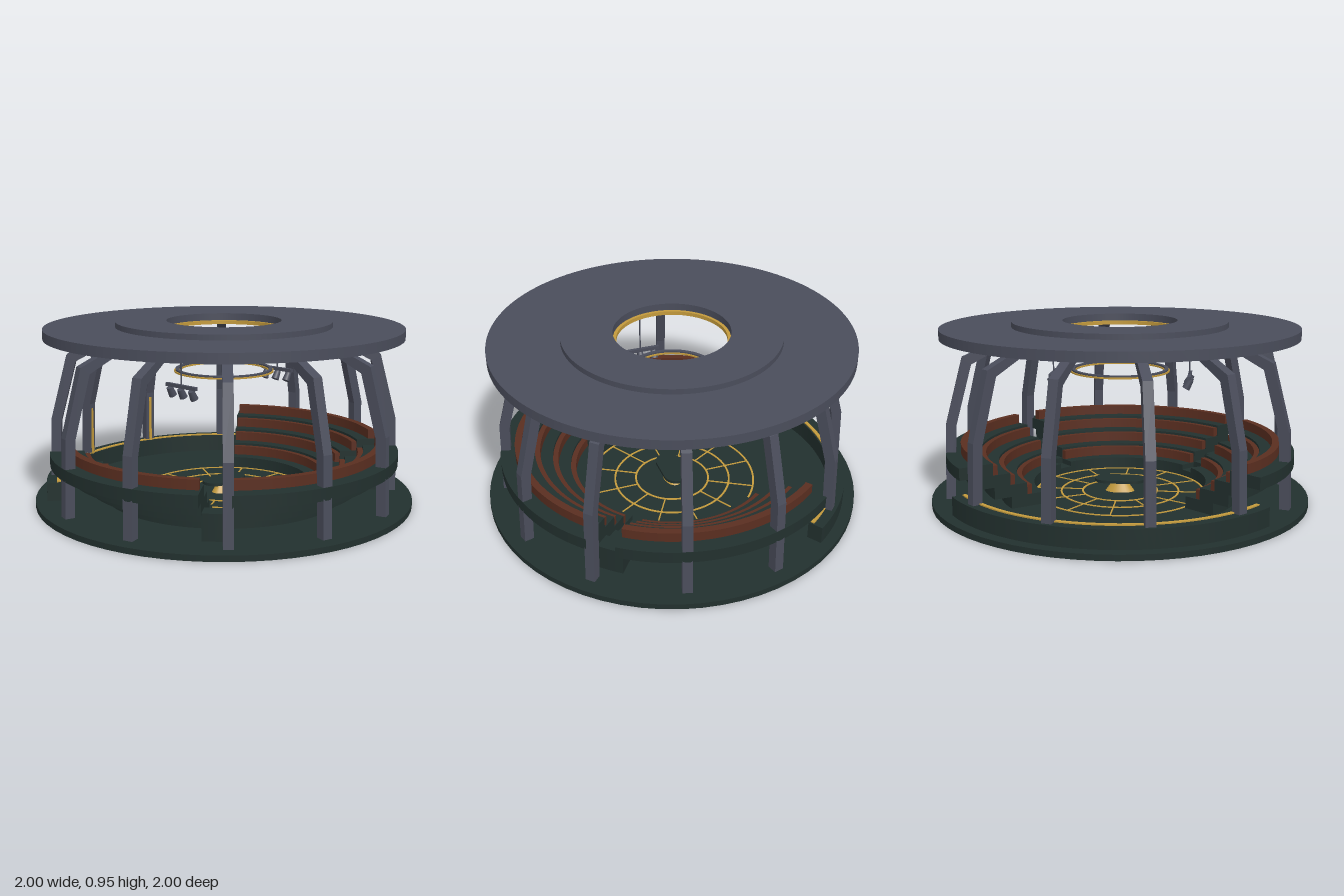
import * as THREE from 'three';

const mat = (name, color) => {
  const m = new THREE.MeshStandardMaterial({ color });
  m.name = name;
  return m;
};
const rad = THREE.MathUtils.degToRad;

export function createModel() {
  const root = new THREE.Group();
  root.name = 'councilPavilion';
  const green = mat('darkGreen', 0x22302e);
  const grey = mat('slateGrey', 0x4a4d5b);
  const brown = mat('woodBrown', 0x5a2e20);
  const gold = mat('gold', 0xc39a3c);

  const add = (name, geo, material, parent = root) => {
    const m = new THREE.Mesh(geo, material);
    m.name = name;
    parent.add(m);
    return m;
  };

  // Flat shape raised between two heights
  const slab = (shape, y0, y1, segs = 32) =>
    new THREE.ExtrudeGeometry(shape, { depth: y1 - y0, bevelEnabled: false, curveSegments: segs })
      .rotateX(-Math.PI / 2).translate(0, y0, 0);

  // Full ring
  const ring = (name, r0, r1, y0, y1, material) => {
    const s = new THREE.Shape().absarc(0, 0, r1, 0, Math.PI * 2, false);
    s.holes.push(new THREE.Path().absarc(0, 0, r0, 0, Math.PI * 2, true));
    return add(name, slab(s, y0, y1, 64), material);
  };

  // Ring sector; angles in degrees from +z towards +x
  const sector = (name, r0, r1, a0, a1, y0, y1, material) => {
    const s = new THREE.Shape();
    s.absarc(0, 0, r1, rad(a0 - 90), rad(a1 - 90), false);
    s.absarc(0, 0, r0, rad(a1 - 90), rad(a0 - 90), true);
    return add(name, slab(s, y0, y1, 28), material);
  };

  // Base and roof
  add('baseDisc', new THREE.CylinderGeometry(1, 1, 0.03, 64).translate(0, 0.015, 0), green);
  ring('roofRing', 0.55, 0.935, 0.875, 0.925, grey);
  ring('roofCap', 0.3, 0.565, 0.915, 0.953, grey);
  ring('skylightTrim', 0.283, 0.303, 0.895, 0.915, gold);

  // Bent ribs around the rim
  const rib = new THREE.Shape([
    [0.925, 0.03], [0.912, 0.43], [0.822, 0.775], [0.585, 0.885],
    [0.525, 0.875], [0.775, 0.74], [0.86, 0.42], [0.875, 0.03],
  ].map(([x, y]) => new THREE.Vector2(x, y)));
  const ribGeo = new THREE.ExtrudeGeometry(rib, { depth: 0.05, bevelEnabled: false })
    .translate(0, 0, -0.025);
  for (let i = 0; i < 12; i++) {
    add('rib', ribGeo, grey).rotation.y = rad(15 + 30 * i - 90);
  }
  // Light strips on the two ribs behind the rear desk
  for (const a of [165, 195]) {
    const strip = add('ribLightStrip', new THREE.BoxGeometry(0.008, 0.3, 0.014), gold);
    strip.position.set(0.865 * Math.sin(rad(a)), 0.26, 0.865 * Math.cos(rad(a)));
    strip.rotation.y = rad(a - 90);
  }

  // Stepped seating with wooden rails, split by two aisles
  const blocks = [[-44, 44], [53.5, 127.5], [-127.5, -53.5]];
  for (let k = 0; k < 4; k++) {
    const R = 0.64 + 0.093 * k;
    const y0 = 0.03 + 0.0625 * k;
    const y1 = y0 + 0.0625;
    for (const [a0, a1] of blocks) {
      sector('seatingTier', R - 0.18, R, a0, a1, y0, y1, green);
      sector('tierRail', R - 0.115, R - 0.078, a0 + 0.5, a1 - 0.5, y1, y1 + 0.05, brown);
    }
    // Aisle steps
    for (const [a0, a1] of [[44, 53.5], [-53.5, -44]]) {
      sector('aisleStep', 0.46 + 0.09 * k, 0.55 + 0.09 * k, a0, a1, 0.03, 0.065 + 0.033 * k, green);
    }
  }

  // Curved rear desk with inlaid edge
  sector('rearDesk', 0.86, 0.94, 124, 236, 0.03, 0.126, green);
  sector('rearDeskInlay', 0.868, 0.888, 124.5, 235.5, 0.126, 0.132, gold);

  // Floor inlay: circles and spokes
  for (const r of [0.2, 0.315, 0.45]) ring('floorCircle', r - 0.005, r + 0.005, 0.03, 0.034, gold);
  for (let i = 0; i < 12; i++) {
    const a = rad(30 * i);
    const spoke = add('floorSpoke', new THREE.BoxGeometry(0.007, 0.004, 0.25), gold);
    spoke.position.set(0.325 * Math.sin(a), 0.032, 0.325 * Math.cos(a));
    spoke.rotation.y = a;
  }

  // Central table: rounded top on a flared foot
  const top = new THREE.Shape();
  top.absarc(0.067, 0, 0.068, -Math.PI / 2, Math.PI / 2, false);
  top.absarc(-0.067, 0, 0.068, Math.PI / 2, Math.PI * 1.5, false);
  add('tableTop', slab(top, 0.085, 0.1, 16), green);
  add('tableFoot', new THREE.CylinderGeometry(0.03, 0.06, 0.055, 24).scale(1.3, 1, 0.8)
    .translate(0, 0.0575, 0), gold);

  // Suspended ring
  ring('hangingRingLight', 0.23, 0.262, 0.684, 0.692, gold);
  ring('hangingRingBody', 0.236, 0.256, 0.692, 0.7, grey);

  // Two hanging lamp bars, heads aimed at the centre
  for (const side of [-1, 1]) {
    const lamp = new THREE.Group();
    lamp.name = 'lampBar';
    lamp.position.set(0.365 * side, 0, 0.055);
    root.add(lamp);
    add('lampRod', new THREE.CylinderGeometry(0.004, 0.004, 0.23, 8).translate(0, 0.775, 0), grey, lamp);
    add('lampCrossbar', new THREE.BoxGeometry(0.018, 0.018, 0.21).translate(0, 0.657, 0), grey, lamp);
    for (const z of [-0.077, 0, 0.077]) {
      const head = add('lampHead', new THREE.CylinderGeometry(0.016, 0.021, 0.05, 16), grey, lamp);
      head.position.set(-0.004 * side, 0.623, z);
      head.rotation.z = -0.5 * side;
    }
  }
  return root;
}
